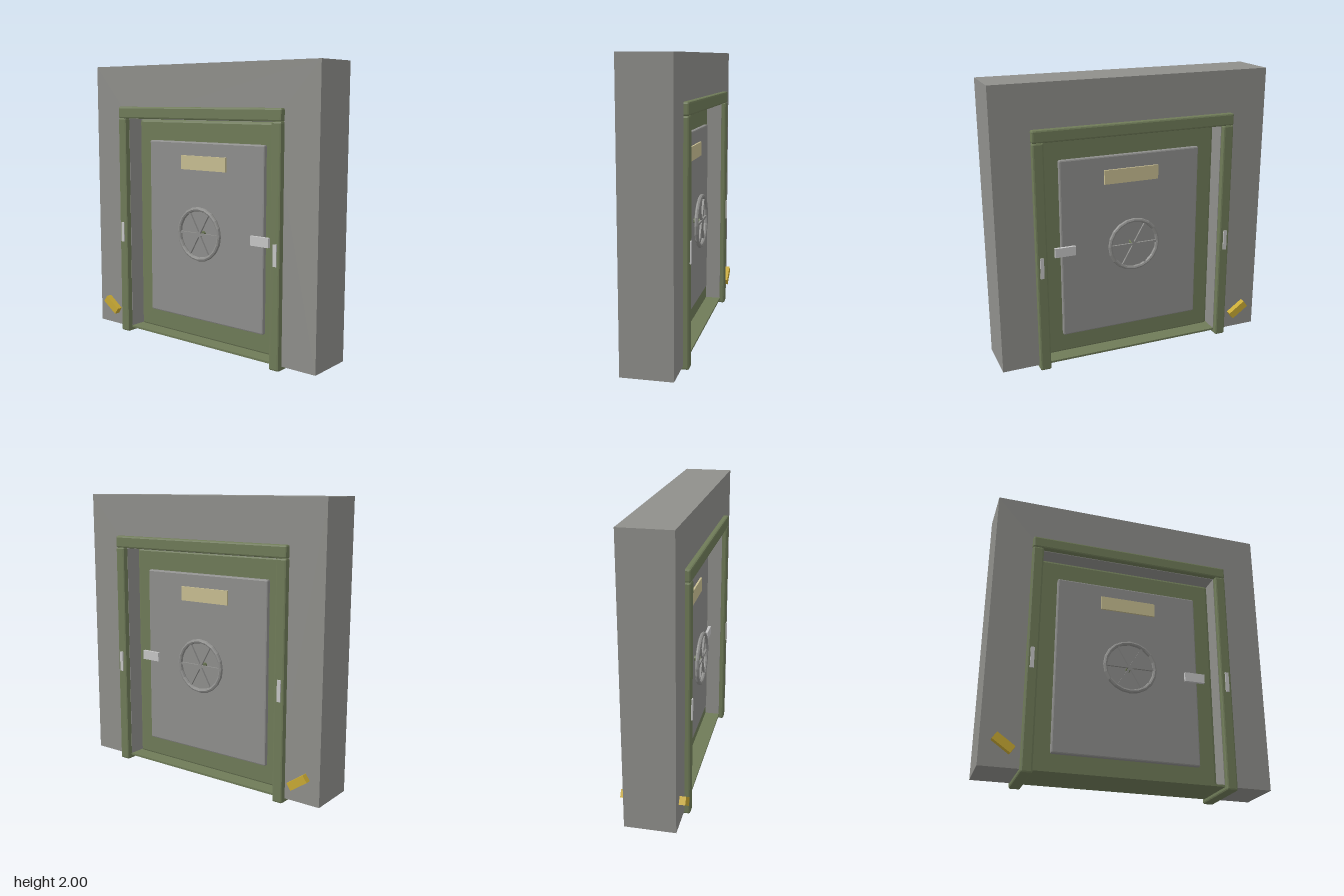
import * as THREE from 'three';
import { RoundedBoxGeometry } from 'three/addons/geometries/RoundedBoxGeometry.js';

const mat = (name, color, flatShading = false) => {
  const m = new THREE.MeshStandardMaterial({ color });
  m.name = name;
  m.flatShading = flatShading;
  return m;
};

export function createModel() {
  const model = new THREE.Group();
  model.name = 'bulkheadDoor';
  const concrete = mat('concreteGrey', 0x8f8f8b);
  const green = mat('oliveGreen', 0x6f7b58, true);
  const steel = mat('steelGrey', 0x8f8f8d, true);
  const silver = mat('silver', 0xc6c6c6);
  const cream = mat('cream', 0xc8be92);
  const yellow = mat('yellow', 0xc9aa34);

  const add = (parent, name, geo, material, x = 0, y = 0, z = 0) => {
    const m = new THREE.Mesh(geo, material);
    m.name = name;
    m.position.set(x, y, z);
    parent.add(m);
    return m;
  };
  const box = (w, h, d) => new THREE.BoxGeometry(w, h, d);
  // Box with every edge cut by a flat chamfer
  const chamferBox = (w, h, d, c) => {
    const g = new RoundedBoxGeometry(w, h, d, 1, c);
    g.computeVertexNormals();
    return g;
  };

  // Wall with a doorway open at the bottom
  const outline = [[-0.987, 0.03], [-0.647, 0.03], [-0.647, 1.615], [0.647, 1.615],
    [0.647, 0.03], [0.987, 0.03], [0.987, 2], [-0.987, 2]];
  const wallShape = new THREE.Shape(outline.map(([x, y]) => new THREE.Vector2(x, y)));
  const wallGeo = new THREE.ExtrudeGeometry(wallShape, { depth: 0.346, bevelEnabled: false });
  add(model, 'wall', wallGeo, concrete, 0, 0, -0.173);

  // Frame: posts and lintel run through the wall
  for (const s of [-1, 1]) {
    add(model, 'framePost', chamferBox(0.078, 1.622, 0.42, 0.012), green, s * 0.689, 0.811, 0);
  }
  add(model, 'frameLintel', chamferBox(1.456, 0.086, 0.42, 0.012), green, 0, 1.662, 0);
  add(model, 'sill', box(1.3, 0.014, 0.35), green, 0, 0.035, 0);

  // Door leaf and raised centre panel
  add(model, 'doorLeaf', chamferBox(1.292, 1.582, 0.13, 0.02), green, 0, 0.822, 0);
  add(model, 'doorPanel', chamferBox(1.036, 1.284, 0.182, 0.01), steel, 0, 0.82, 0);

  // Fittings repeated on both faces
  for (const s of [-1, 1]) {
    const side = new THREE.Group();
    side.name = s > 0 ? 'frontFittings' : 'backFittings';
    model.add(side);

    add(side, 'signPlate', box(0.4, 0.1, 0.014), cream, 0, 1.315, s * 0.097);
    add(side, 'latch', box(0.148, 0.066, 0.022), silver, 0.494, 0.82, s * 0.1);
    for (const x of [-0.693, 0.693]) {
      add(side, 'postPlate', box(0.026, 0.146, 0.02), silver, x, 0.77, s * 0.208);
    }
    const marker = add(side, 'wallMarker', box(0.145, 0.055, 0.045), yellow, -0.84, 0.178, s * 0.193);
    marker.rotation.z = -0.61;

    // Handwheel with six spokes on a short shaft
    const wheel = new THREE.Group();
    wheel.name = 'handwheel';
    wheel.position.set(0, 0.82, s * 0.145);
    side.add(wheel);
    add(wheel, 'wheelRim', new THREE.TorusGeometry(0.179, 0.015, 8, 20), steel);
    for (let i = 0; i < 3; i++) {
      const spoke = add(wheel, 'spokes', box(0.35, 0.016, 0.014), steel);
      spoke.rotation.z = (i * Math.PI) / 3;
    }
    const shaft = add(wheel, 'wheelShaft', new THREE.CylinderGeometry(0.018, 0.018, 0.06, 10), green, 0, 0, -s * 0.032);
    shaft.rotation.x = Math.PI / 2;
  }
  return model;
}
